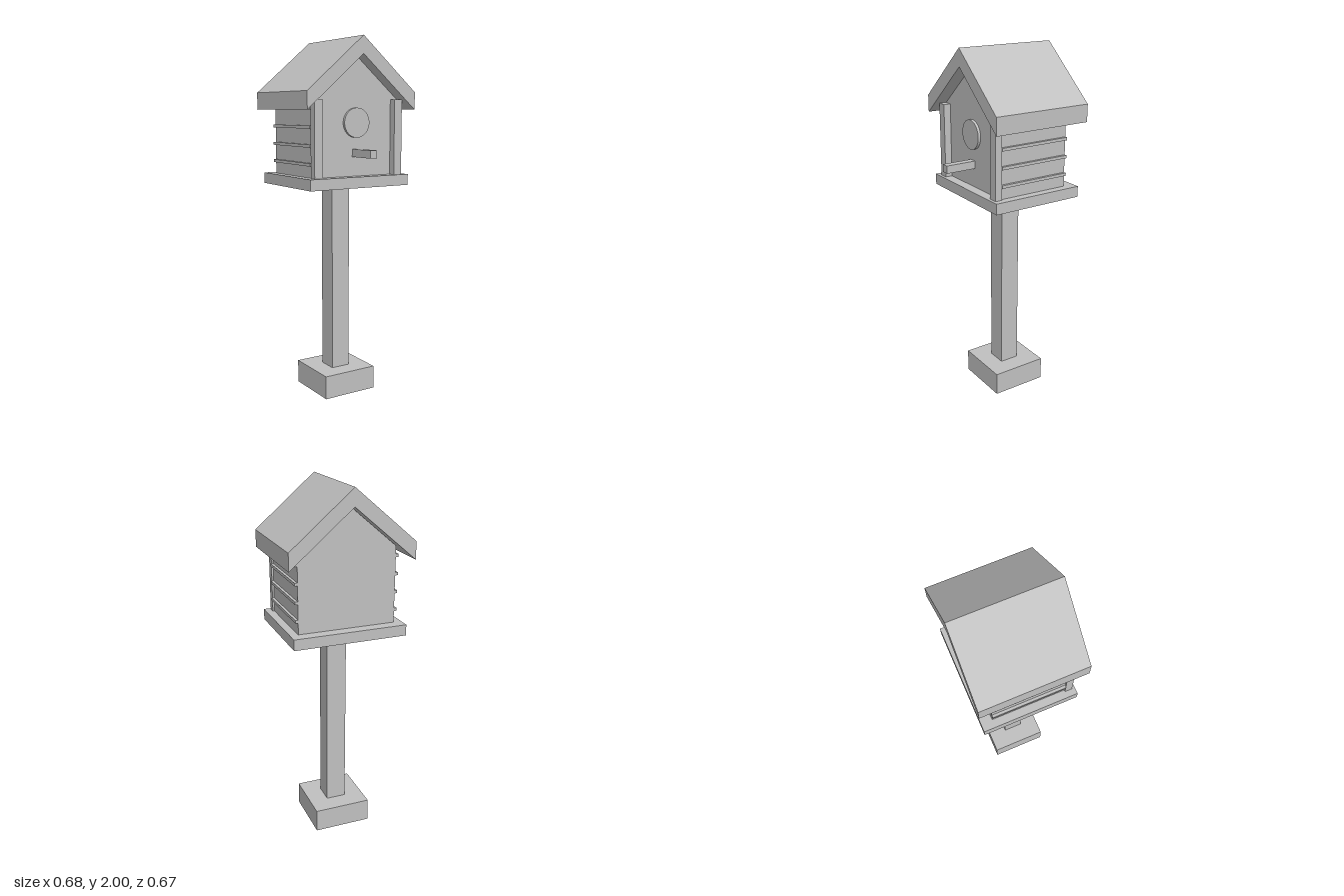
import * as THREE from 'three';

export function createModel() {
  const group = new THREE.Group();
  const grey = new THREE.MeshStandardMaterial({ color: 0xc0c0c0 });
  grey.name = 'plain grey';

  function add(name, geometry) {
    const mesh = new THREE.Mesh(geometry, grey);
    mesh.name = name;
    group.add(mesh);
    return mesh;
  }
  // Box given by its lower and upper limits on each axis
  function box(name, [x0, x1], [y0, y1], [z0, z1]) {
    const mesh = add(name, new THREE.BoxGeometry(x1 - x0, y1 - y0, z1 - z0));
    mesh.position.set((x0 + x1) / 2, (y0 + y1) / 2, (z0 + z1) / 2);
  }
  // Front outline extruded from z0 to z1
  function prism(name, points, z0, z1) {
    const shape = new THREE.Shape(points.map(([x, y]) => new THREE.Vector2(x, y)));
    const geometry = new THREE.ExtrudeGeometry(shape, { depth: z1 - z0, bevelEnabled: false });
    add(name, geometry.translate(0, 0, z0));
  }

  // Stand
  box('foot', [-0.162, 0.162], [0, 0.132], [-0.208, 0.114]);
  box('pole', [-0.056, 0.056], [0.132, 1.2], [-0.102, 0.01]);
  box('platform', [-0.315, 0.315], [1.198, 1.258], [-0.313, 0.217]);

  // House with gabled ends
  prism('house', [[-0.27, 1.258], [0.27, 1.258], [0.27, 1.674], [0, 1.903], [-0.27, 1.674]], -0.25, 0.16);

  // Pitched roof with plumb-cut eaves
  prism('roof', [[-0.342, 1.615], [0, 1.905], [0.342, 1.615], [0.342, 1.71], [0, 2], [-0.342, 1.71]], -0.334, 0.235);

  // Corner posts and side battens, mirrored
  for (const side of [-1, 1]) {
    const span = (a, b) => (side > 0 ? [a, b] : [-b, -a]);
    box('cornerPost', span(0.23, 0.28), [1.258, 1.67], [0.16, 0.2]);
    for (let i = 0; i < 4; i++) {
      const y = 1.321 + i * 0.098;
      box('sideBatten', span(0.265, 0.285), [y, y + 0.016], [-0.25, 0.16]);
    }
  }

  // Entrance disc and perch
  const disc = add('entrance', new THREE.CylinderGeometry(0.08, 0.08, 0.03, 32));
  disc.rotation.x = Math.PI / 2;
  disc.position.set(0, 1.546, 0.16);
  box('perch', [-0.021, 0.021], [1.363, 1.405], [0.15, 0.333]);

  return group;
}
